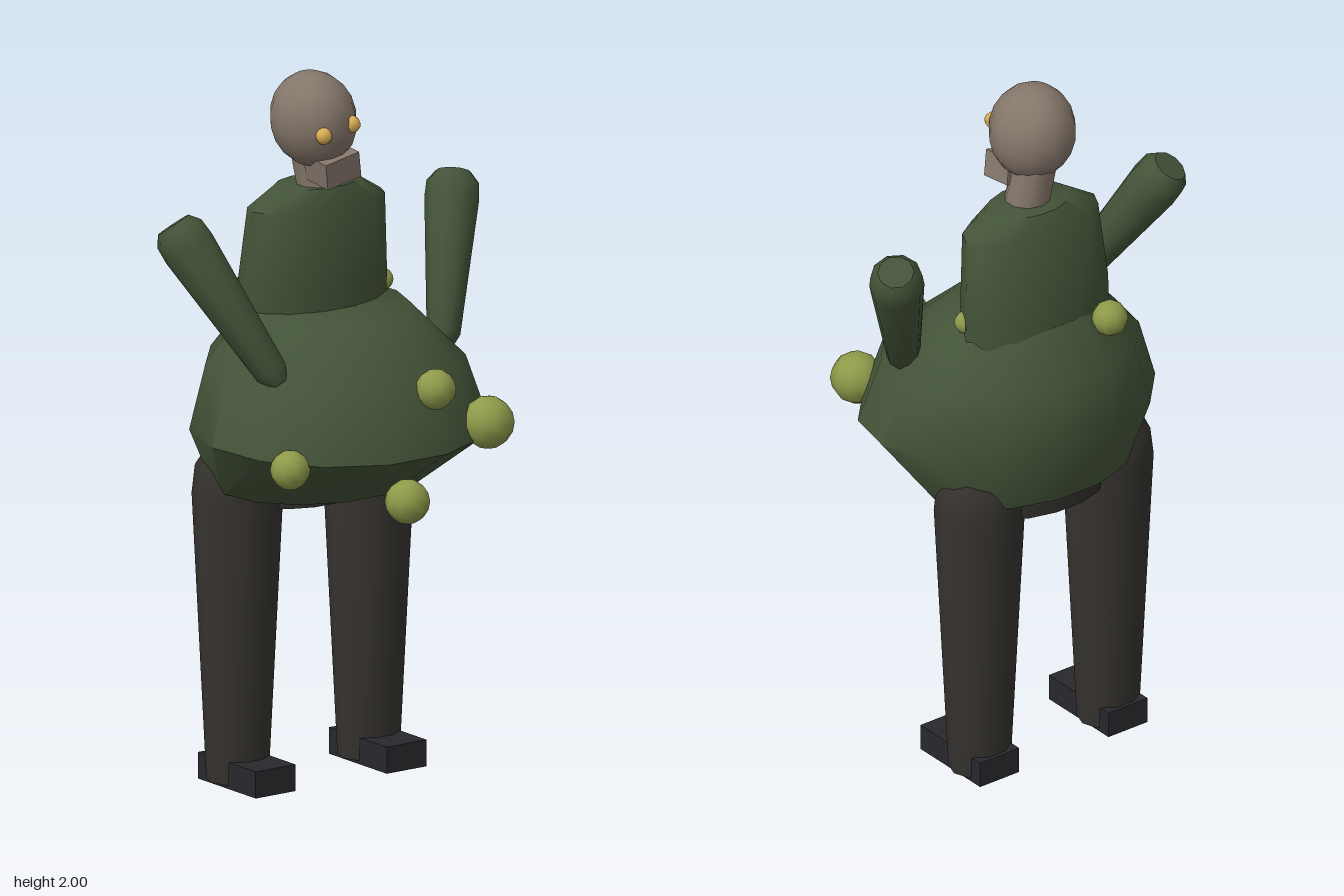
import * as THREE from 'three';
import { toCreasedNormals } from 'three/addons/utils/BufferGeometryUtils.js';

const mat = (color) => new THREE.MeshStandardMaterial({ color });
const coat = mat(0x435338), trousers = mat(0x35322e), shoes = mat(0x28282d);
const skin = mat(0x84766a), gold = mat(0xd9ae55), wartGreen = mat(0x8e9a4a);

// Closed loft through elliptical rings [y, rx, rz, cz]; slope lifts the back of every ring
function loft(rings, sides, slope = 0) {
  const pos = [], index = [];
  for (const [y, rx, rz, cz = 0] of rings) {
    for (let i = 0; i < sides; i++) {
      const a = (i / sides) * Math.PI * 2;
      const z = cz + rz * Math.sin(a);
      pos.push(rx * Math.cos(a), y - slope * z, z);
    }
  }
  const last = rings.length - 1;
  const at = (j, i) => j * sides + (i % sides);
  const bottom = pos.length / 3, top = bottom + 1;
  for (const [y, , , cz = 0] of [rings[0], rings[last]]) pos.push(0, y - slope * cz, cz);
  for (let i = 0; i < sides; i++) {
    for (let j = 0; j < last; j++) {
      index.push(at(j, i), at(j + 1, i), at(j, i + 1));
      index.push(at(j, i + 1), at(j + 1, i), at(j + 1, i + 1));
    }
    index.push(bottom, at(0, i), at(0, i + 1));
    index.push(top, at(last, i + 1), at(last, i));
  }
  const g = new THREE.BufferGeometry();
  g.setAttribute('position', new THREE.Float32BufferAttribute(pos, 3));
  g.setIndex(index);
  return toCreasedNormals(g, 0.9);
}

export function createModel() {
  const model = new THREE.Group();
  model.name = 'figure';
  const add = (name, geometry, material, x = 0, y = 0, z = 0, parent = model) => {
    const m = new THREE.Mesh(geometry, material);
    m.name = name;
    m.position.set(x, y, z);
    parent.add(m);
    return m;
  };

  // Swollen belly
  add('belly', loft([
    [0.835, 0.32, 0.23, -0.1],
    [1.01, 0.43, 0.375, -0.005],
    [1.19, 0.37, 0.335, -0.02],
    [1.335, 0.235, 0.2, -0.06],
  ], 14, 0.065), coat);

  // Upper torso with sloped shoulders
  add('torso', loft([
    [1.28, 0.235, 0.13, -0.13],
    [1.4, 0.236, 0.128, -0.128],
    [1.62, 0.22, 0.11, -0.11],
    [1.675, 0.13, 0.085, -0.105],
  ], 14), coat);

  // Pelvis between the legs
  add('pelvis', loft([
    [0.765, 0.19, 0.115, -0.17],
    [0.9, 0.21, 0.13, -0.17],
  ], 14, 0.08), trousers);

  // Legs and shoes
  const legGeo = loft([
    [0.01, 0.088, 0.08],
    [0.82, 0.134, 0.109],
    [0.9, 0.125, 0.1],
    [0.95, 0.085, 0.075],
  ], 10);
  const shoeGeo = new THREE.BoxGeometry(0.135, 0.075, 0.265);
  for (const [side, s] of [['left', 1], ['right', -1]]) {
    add(side + 'Leg', legGeo, trousers, s * 0.222, 0, -0.17);
    add(side + 'Shoe', shoeGeo, shoes, s * 0.222, 0.0375, -0.127);
  }

  // Raised arms, widening to a blunt bevelled end
  const arm = (name, from, to) => {
    const a = new THREE.Vector3(...from), dir = new THREE.Vector3(...to).sub(a);
    const len = dir.length();
    const m = add(name, loft([
      [-0.02, 0.025, 0.025],
      [0.02, 0.046, 0.046],
      [len * 0.87, 0.075, 0.075],
      [len * 0.97, 0.072, 0.072],
      [len * 1.03, 0.05, 0.05],
    ], 10), coat, ...from);
    m.quaternion.setFromUnitVectors(new THREE.Vector3(0, 1, 0), dir.normalize());
  };
  arm('leftArm', [0.305, 1.21, 0.06], [0.468, 1.61, -0.115]);
  arm('rightArm', [-0.3, 1.21, 0.11], [-0.47, 1.61, -0.115]);

  // Neck
  const neck = add('neck', new THREE.CylinderGeometry(0.06, 0.063, 0.13, 10), skin, -0.015, 1.725, -0.095);
  neck.rotation.set(-0.1, 0, 0.17);

  // Head leaning to one side, with jaw and eyes
  const head = new THREE.Group();
  head.name = 'head';
  head.position.set(-0.04, 1.865, -0.068);
  head.rotation.z = 0.19;
  model.add(head);
  add('skull', new THREE.SphereGeometry(1, 14, 10), skin, 0, 0, 0, head).scale.set(0.117, 0.136, 0.127);
  const jaw = add('jaw', new THREE.BoxGeometry(0.115, 0.075, 0.1), skin, 0, -0.127, 0.055, head);
  jaw.rotation.x = 0.12;
  const eyeGeo = new THREE.SphereGeometry(0.024, 8, 6);
  for (const s of [1, -1]) {
    add(s > 0 ? 'leftEye' : 'rightEye', eyeGeo, gold, s * 0.049, -0.01, 0.11, head);
  }

  // Warts: x, y, z, radius
  const warts = [
    [0.085, 1.165, 0.325, 0.056],
    [0.282, 1.035, 0.298, 0.073],
    [-0.005, 0.86, 0.317, 0.062],
    [-0.332, 0.98, 0.222, 0.055],
    [-0.142, 1.335, -0.282, 0.05],
    [0.215, 1.365, -0.1, 0.032],
  ];
  warts.forEach(([x, y, z, r], i) => {
    add('wart' + (i + 1), new THREE.SphereGeometry(r, 10, 8), wartGreen, x, y, z);
  });

  return model;
}
